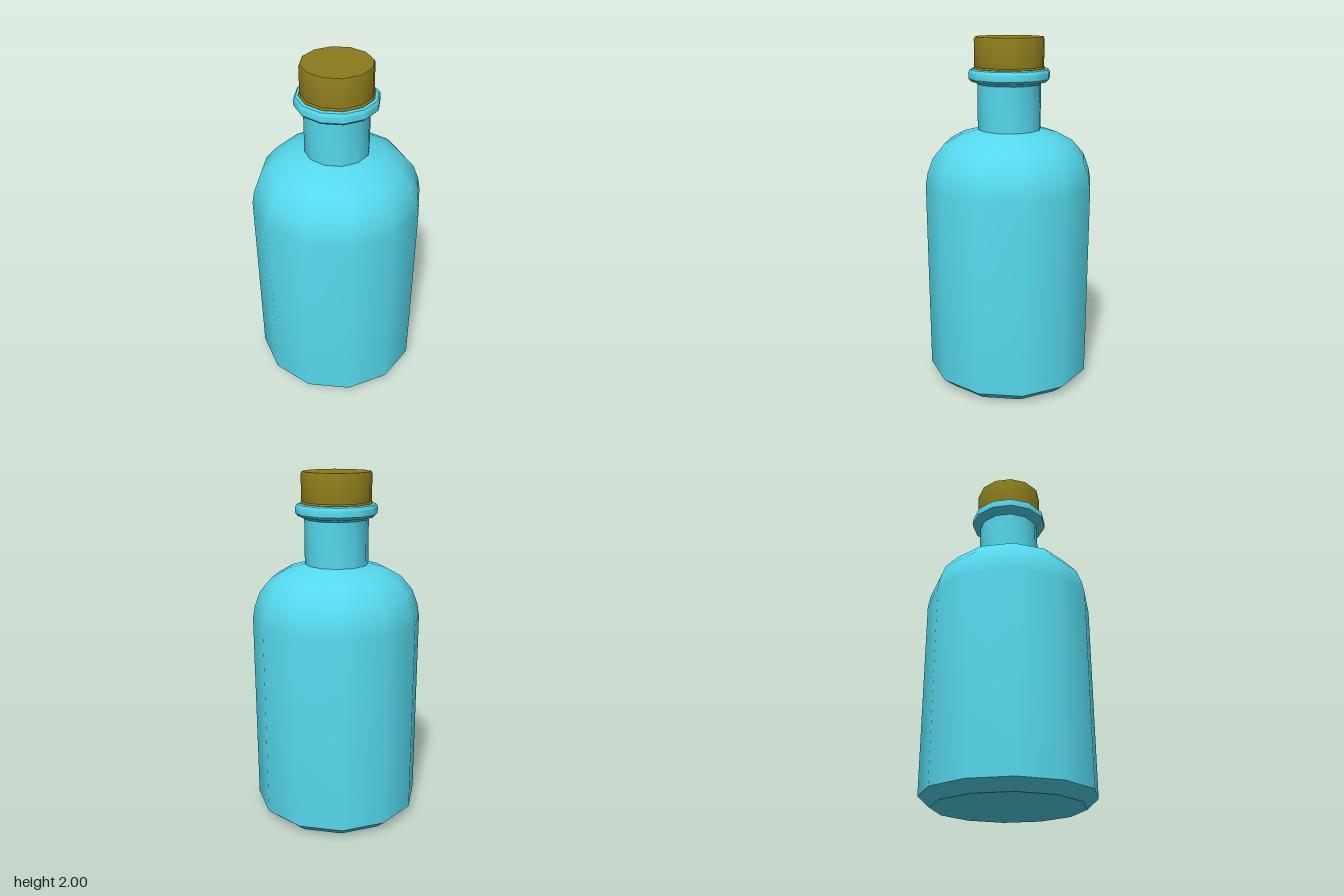
import * as THREE from 'three';
import { toCreasedNormals } from 'three/addons/utils/BufferGeometryUtils.js';

const SIDES = 12;

// Turn a [radius, height] profile, listed bottom to top, around the y axis
function turned(name, profile, color) {
  const points = profile.map(([r, y]) => new THREE.Vector2(r, y));
  const geometry = toCreasedNormals(new THREE.LatheGeometry(points, SIDES), 0.7);
  const mesh = new THREE.Mesh(geometry, new THREE.MeshStandardMaterial({ color }));
  mesh.name = name;
  return mesh;
}

export function createModel() {
  const group = new THREE.Group();
  group.name = 'corkedBottle';
  const glass = 0x55d8ec;
  const cork = 0x8a7a1c;

  // Body: flat base, chamfer, straight wall and rounded shoulder
  group.add(turned('body', [
    [0, 0], [0.418, 0], [0.483, 0.058], [0.483, 1.18],
    [0.47, 1.25], [0.438, 1.335], [0.37, 1.415], [0.28, 1.465], [0.18, 1.493],
  ], glass));

  // Neck
  group.add(turned('neck', [[0.18, 1.493], [0.18, 1.76]], glass));

  // Rounded lip around the mouth
  group.add(turned('lip', [
    [0.18, 1.745], [0.19, 1.755], [0.215, 1.76], [0.229, 1.775],
    [0.229, 1.81], [0.22, 1.825], [0.205, 1.83], [0.18, 1.82],
  ], glass));

  // Stopper with a slim foot and a small bevel on top
  group.add(turned('stopper', [
    [0, 1.8], [0.204, 1.8], [0.204, 1.832], [0.196, 1.84],
    [0.196, 1.988], [0.19, 2], [0, 2],
  ], cork));

  return group;
}
